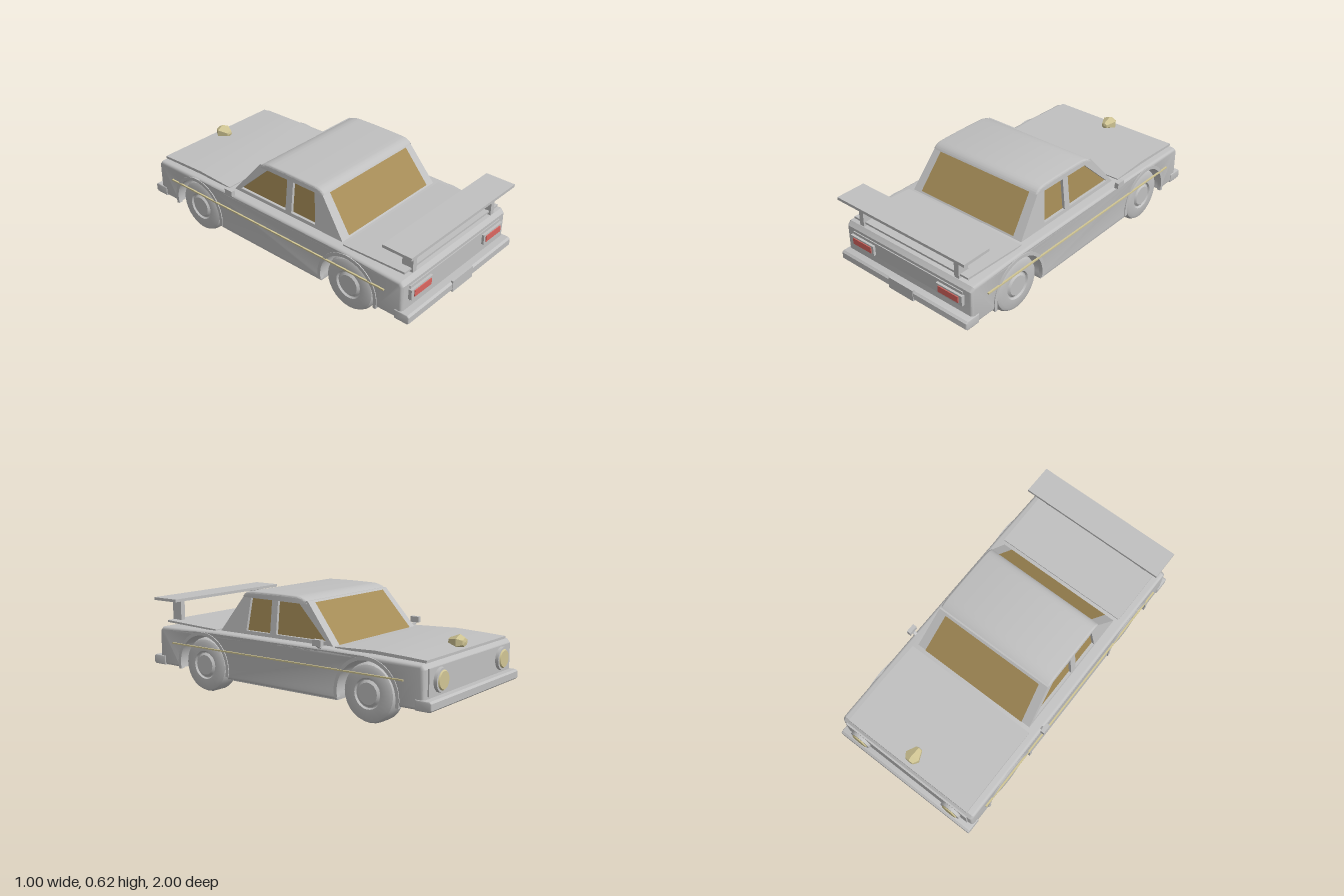
import * as THREE from 'three';
import { toCreasedNormals } from 'three/addons/utils/BufferGeometryUtils.js';

const mat = (name, color, side = THREE.FrontSide) => {
  const m = new THREE.MeshStandardMaterial({ color, side });
  m.name = name;
  return m;
};

export function createModel() {
  const car = new THREE.Group();
  car.name = 'car';
  const paint = mat('grey paint', 0xc0c0c0);
  const glass = mat('amber glass', 0xa58c57, THREE.DoubleSide);
  const gold = mat('pale gold', 0xd0c594);
  const red = mat('red lamp', 0xdb6660);

  const add = (name, geo, material = paint, x = 0, y = 0, z = 0) => {
    const mesh = new THREE.Mesh(geo, material);
    mesh.name = name;
    mesh.position.set(x, y, z);
    car.add(mesh);
    return mesh;
  };
  // box given by its limits
  const box = (name, x0, x1, y0, y1, z0, z1, material = paint) =>
    add(name, new THREE.BoxGeometry(x1 - x0, y1 - y0, z1 - z0), material,
      (x0 + x1) / 2, (y0 + y1) / 2, (z0 + z1) / 2);
  const outline = (pts) => new THREE.Shape(pts.map(([z, y]) => new THREE.Vector2(z, y)));
  // side outline (z, y) extruded across x, from x0 to x1
  const across = (shape, x0, x1, bevel = 0) => {
    const geo = new THREE.ExtrudeGeometry(shape, {
      depth: x1 - x0 - 2 * bevel, curveSegments: 20, bevelEnabled: bevel > 0,
      bevelThickness: bevel, bevelSize: bevel, bevelOffset: -bevel, bevelSegments: 3,
    });
    geo.rotateY(-Math.PI / 2);
    geo.translate(x1 - bevel, 0, 0);
    return toCreasedNormals(geo, 0.6);
  };
  // sides lean inwards towards the roof
  const lean = (geo) => {
    const p = geo.attributes.position;
    for (let i = 0; i < p.count; i++) {
      p.setX(i, p.getX(i) - Math.sign(p.getX(i)) * 0.11 * (p.getY(i) - 0.37));
    }
    geo.computeVertexNormals();
    return geo;
  };

  // body with four wheel arches
  const axles = [0.577, -0.6], wheelY = 0.157, archR = 0.188;
  const body = outline([[0.945, 0.125], [0.945, 0.335], [0.925, 0.36], [0.5, 0.374],
    [-0.35, 0.374], [-0.93, 0.36], [-0.95, 0.335], [-0.95, 0.125]]);
  const cut = (z) => {
    const a = Math.asin((wheelY - 0.125) / archR);
    body.absarc(z, wheelY, archR, Math.PI + a, -a, true);
  };
  cut(axles[1]);
  body.lineTo(-0.412, 0.104);
  body.lineTo(0.389, 0.104);
  cut(axles[0]);
  add('body', across(body, -0.475, 0.475, 0.018));
  box('floor', -0.465, 0.465, 0.1, 0.13, -0.41, 0.388);

  // wheels and arch flares
  const tyre = [[0.085, -0.0625], [0.135, -0.0625], [0.153, -0.054], [0.163, -0.035],
    [0.163, 0.035], [0.153, 0.054], [0.135, 0.0625], [0.085, 0.0625], [0.078, 0.052], [0, 0.052]];
  const tyreGeo = toCreasedNormals(new THREE.LatheGeometry(
    [[0, -0.0625], ...tyre].map(([r, h]) => new THREE.Vector2(r, h)), 28), 0.6);
  const hubGeo = new THREE.CylinderGeometry(0.06, 0.073, 0.012, 16);
  for (const s of [1, -1]) {
    const tag = s > 0 ? 'left' : 'right';
    for (const z of axles) {
      add(tag + 'Wheel', tyreGeo, paint, s * 0.398, wheelY + 0.006, z).rotation.z = -s * Math.PI / 2;
      add(tag + 'Hub', hubGeo, paint, s * 0.456, wheelY + 0.006, z).rotation.z = -s * Math.PI / 2;
      const flare = new THREE.Shape();
      flare.absarc(z, wheelY, 0.206, -0.2, Math.PI + 0.2, false);
      flare.absarc(z, wheelY, 0.186, Math.PI + 0.2, -0.2, true);
      add(tag + 'ArchFlare', across(flare, s > 0 ? 0.455 : -0.48, s > 0 ? 0.48 : -0.455));
    }
    box(tag + 'TrimStrip', s * 0.48 - 0.005, s * 0.48 + 0.005, 0.266, 0.274, -0.83, 0.83, gold);
    // mirror on a slanted arm
    box(tag + 'Mirror', s * 0.49 - 0.0125, s * 0.49 + 0.0125, 0.385, 0.42, -0.325, -0.268);
    const arm = box(tag + 'MirrorArm', s * 0.475 - 0.022, s * 0.475 + 0.022, 0.371, 0.381, -0.305, -0.285);
    arm.rotation.z = s * 0.6;
  }

  // cabin: solid core, side frames with openings, glass
  add('cabinCore', lean(across(outline([[0.495, 0.365], [0.318, 0.6], [-0.145, 0.6], [-0.345, 0.365]]), -0.39, 0.39)));
  const windows = [
    [[0.29, 0.395], [0.268, 0.59], [0.11, 0.59], [0.11, 0.395]],
    [[0.066, 0.395], [0.066, 0.59], [-0.08, 0.59], [-0.288, 0.395]],
  ];
  const flat = (name, corners, material) => {
    const geo = new THREE.BufferGeometry();
    geo.setAttribute('position', new THREE.Float32BufferAttribute(corners.flat(), 3));
    geo.setIndex([0, 1, 2, 0, 2, 3]);
    geo.computeVertexNormals();
    return add(name, geo, material);
  };
  for (const s of [1, -1]) {
    const tag = s > 0 ? 'left' : 'right';
    const frame = outline([[0.495, 0.365], [0.318, 0.6], [-0.145, 0.6], [-0.345, 0.365]]);
    for (const w of windows) {
      frame.holes.push(new THREE.Path(w.map(([z, y]) => new THREE.Vector2(z, y))));
      const quad = w.map(([z, y]) => [s * (0.393 - 0.11 * (y - 0.37)), y, z]);
      flat(tag + 'SideWindow', s > 0 ? quad : quad.reverse(), glass);
    }
    add(tag + 'WindowFrame', lean(across(frame, s > 0 ? 0.388 : -0.41, s > 0 ? 0.41 : -0.388)));
  }
  const rearZ = (y) => 0.495 - (y - 0.365) * 0.753 + 0.004;
  const foreZ = (y) => -0.345 + (y - 0.365) * 0.851 - 0.004;
  flat('rearWindow', [[-0.35, 0.385, rearZ(0.385)], [0.35, 0.385, rearZ(0.385)],
    [0.333, 0.59, rearZ(0.59)], [-0.333, 0.59, rearZ(0.59)]], glass);
  flat('windscreen', [[0.355, 0.375, foreZ(0.375)], [-0.355, 0.375, foreZ(0.375)],
    [-0.333, 0.59, foreZ(0.59)], [0.333, 0.59, foreZ(0.59)]], glass);

  // rounded roof
  const roof = new THREE.Shape();
  roof.moveTo(0.335, 0.589);
  roof.quadraticCurveTo(0.318, 0.62, 0.27, 0.622);
  roof.quadraticCurveTo(0.1, 0.627, -0.07, 0.622);
  roof.quadraticCurveTo(-0.12, 0.615, -0.15, 0.589);
  add('roof', across(roof, -0.388, 0.388, 0.012));

  // bonnet and boot lid
  add('bonnet', across(outline([[-0.365, 0.37], [-0.365, 0.38], [-0.62, 0.39], [-0.8, 0.383],
    [-0.935, 0.376], [-0.935, 0.362], [-0.62, 0.372]]), -0.43, 0.43));
  add('bootLid', across(outline([[0.51, 0.37], [0.51, 0.38], [0.92, 0.396], [0.92, 0.384]]), -0.43, 0.43));

  // rear wing
  box('wing', -0.472, 0.472, 0.52, 0.537, 0.803, 0.988);
  for (const s of [1, -1]) box('wingPost', s * 0.358 - 0.016, s * 0.358 + 0.016, 0.37, 0.525, 0.86, 0.93);

  // wrap-around bumpers
  for (const s of [1, -1]) {
    const bumper = outline([[s * 0.9, 0.125], [s * 0.985, 0.125], [s * 0.997, 0.135], [s * 0.997, 0.172],
      [s * 0.985, 0.182], [s * 0.9, 0.182]]);
    add(s > 0 ? 'rearBumper' : 'frontBumper', across(bumper, -0.48, 0.48, 0.006));
  }
  box('numberPlate', -0.093, 0.093, 0.12, 0.19, 0.985, 1.0);

  // tail panel and lamps
  box('tailPanel', -0.415, 0.415, 0.228, 0.318, 0.94, 0.951);
  for (const s of [1, -1]) {
    box('tailLampHousing', s * 0.331 - 0.092, s * 0.331 + 0.092, 0.24, 0.301, 0.94, 0.966);
    box('tailLamp', s * 0.328 - 0.072, s * 0.328 + 0.072, 0.253, 0.291, 0.963, 0.971, red);
  }

  // front panel and round headlamps
  box('frontPanel', -0.44, 0.44, 0.195, 0.338, -0.958, -0.945);
  for (const s of [1, -1]) {
    const rim = add('headlampRim', new THREE.CylinderGeometry(0.066, 0.066, 0.024, 24), paint, s * 0.333, 0.266, -0.965);
    const lens = add('headlampLens', new THREE.CylinderGeometry(0.048, 0.054, 0.008, 24), gold, s * 0.333, 0.266, -0.98);
    rim.rotation.x = lens.rotation.x = -Math.PI / 2;
  }

  // faceted bonnet ornament
  const gem = new THREE.LatheGeometry([[0, -0.05], [0.03, -0.046], [0.052, -0.015], [0.022, 0.045], [0, 0.05]]
    .map(([r, h]) => new THREE.Vector2(r, h)), 6).toNonIndexed();
  gem.computeVertexNormals();
  gem.scale(1, 1, 0.8);
  add('bonnetOrnament', gem, gold, 0, 0.402, -0.865).rotation.x = Math.PI / 2;

  return car;
}
